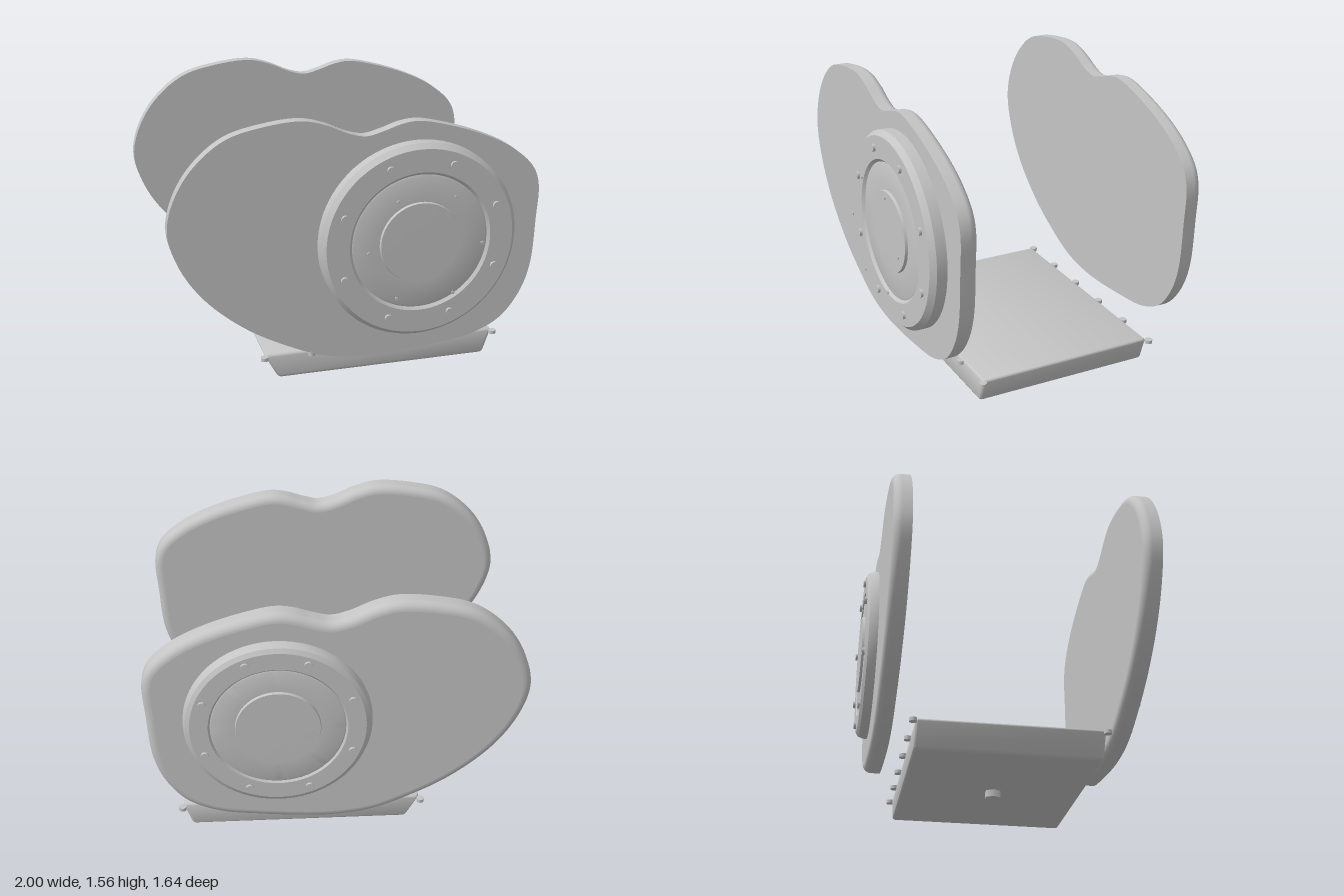
import * as THREE from 'three';
import { toCreasedNormals } from 'three/addons/utils/BufferGeometryUtils.js';
import { RoundedBoxGeometry } from 'three/addons/geometries/RoundedBoxGeometry.js';

const HUB = { x: 0.31, y: 0.88 };

export function createModel() {
  const model = new THREE.Group();
  const grey = new THREE.MeshStandardMaterial({ color: 0xc4c4c4 });
  grey.name = 'light grey';

  function add(name, geometry, parent = model) {
    const mesh = new THREE.Mesh(geometry, grey);
    mesh.name = name;
    parent.add(mesh);
    return mesh;
  }

  // Kidney-shaped outline shared by both side plates (counter-clockwise)
  const outline = new THREE.CatmullRomCurve3([
    [-1.0, 1.02], [-0.945, 0.83], [-0.82, 0.64], [-0.61, 0.455], [-0.39, 0.33],
    [-0.18, 0.245], [0.06, 0.215], [0.435, 0.24], [0.65, 0.275], [0.81, 0.355],
    [0.915, 0.49], [0.97, 0.645], [0.99, 0.91], [0.995, 1.12], [0.955, 1.22],
    [0.84, 1.325], [0.68, 1.41], [0.46, 1.485], [0.31, 1.515], [0.22, 1.505],
    [0.125, 1.475], [0.035, 1.455], [-0.055, 1.475], [-0.18, 1.53], [-0.3, 1.56],
    [-0.5, 1.545], [-0.7, 1.49], [-0.87, 1.35], [-0.97, 1.18],
  ].map(([x, y]) => new THREE.Vector3(x, y, 0)), true, 'centripetal');

  const N = 180;
  const loop = (inset) => Array.from({ length: N }, (_, i) => {
    const p = outline.getPoint(i / N), t = outline.getTangent(i / N);
    return new THREE.Vector2(p.x - t.y * inset, p.y + t.x * inset);
  });

  // Plate: sharp edge on +z, quarter-round edge on -z
  function addPlate(name, zFront, zBack) {
    const group = new THREE.Group();
    group.name = name;
    model.add(group);
    const R = 0.045, steps = 7;
    const sections = [[0, zFront]];
    for (let s = 0; s <= steps; s++) {
      const a = (s / steps) * Math.PI / 2;
      sections.push([R * (1 - Math.cos(a)), zBack + R * (1 - Math.sin(a))]);
    }
    const positions = [], index = [];
    sections.forEach(([inset, z], s) => {
      loop(inset).forEach((p) => positions.push(p.x, p.y, z));
      if (s === 0) return;
      for (let i = 0; i < N; i++) {
        const j = (i + 1) % N, a = (s - 1) * N, b = s * N;
        index.push(a + i, b + i, b + j, a + i, b + j, a + j);
      }
    });
    const rim = new THREE.BufferGeometry();
    rim.setAttribute('position', new THREE.Float32BufferAttribute(positions, 3));
    rim.setIndex(index);
    rim.computeVertexNormals();
    add('plateRim', rim, group);

    const front = new THREE.ShapeGeometry(new THREE.Shape(loop(0)));
    add('plateFrontFace', front.translate(0, 0, zFront), group);
    const back = new THREE.ShapeGeometry(new THREE.Shape(loop(R).map((p) => new THREE.Vector2(-p.x, p.y)).reverse()));
    add('plateBackFace', back.rotateY(Math.PI).translate(0, 0, zBack), group);
  }
  addPlate('frontPlate', 0.65, 0.55);
  addPlate('rearPlate', -0.645, -0.742);

  // Round cover with chamfer, grooved ring, raised centre cap and eight bolts
  function addCover(name, z, facing, profile, boltRadius, boltBase) {
    const group = new THREE.Group();
    group.name = name;
    group.position.set(HUB.x, HUB.y, z);
    if (facing < 0) group.rotation.y = Math.PI;
    model.add(group);
    const points = profile.map(([r, h]) => new THREE.Vector2(r, h));
    const disc = new THREE.LatheGeometry(points, 72).rotateX(Math.PI / 2);
    if (facing < 0) group.position.x = HUB.x;
    add('coverDisc', toCreasedNormals(disc, 0.4), group);
    for (let i = 0; i < 8; i++) {
      const a = (i + 0.5) * Math.PI / 4;
      const bolt = new THREE.CylinderGeometry(0.021, 0.021, 0.035, 16).rotateX(Math.PI / 2);
      add('coverBolt', bolt, group).position.set(
        boltRadius * Math.cos(a), boltRadius * Math.sin(a), boltBase);
    }
  }
  addCover('frontCover', 0.65, 1, [
    [0.535, 0], [0.535, 0.057], [0.51, 0.087], [0.385, 0.087], [0.37, 0.072],
    [0.36, 0.076], [0.222, 0.076], [0.218, 0.091], [0.21, 0.091], [0, 0.094],
  ], 0.446, 0.084);
  addCover('rearCover', -0.742, -1, [
    [0.49, 0], [0.488, 0.025], [0.478, 0.05], [0.455, 0.064], [0.36, 0.064], [0.35, 0.054],
    [0.34, 0.058], [0.222, 0.058], [0.218, 0.072], [0.21, 0.072], [0, 0.075],
  ], 0.415, 0.06);

  // Six small pins standing off the front cover
  for (let i = 0; i < 6; i++) {
    const a = i * Math.PI / 3;
    const pin = new THREE.CylinderGeometry(0.009, 0.009, 0.007, 12).rotateX(Math.PI / 2);
    add('smallPin', pin).position.set(HUB.x + 0.308 * Math.cos(a), HUB.y + 0.308 * Math.sin(a), 0.819);
  }

  // Bottom pan, its ends sloping inwards towards the base
  const H = 0.147;
  const pan = new RoundedBoxGeometry(1.325, H, 1.003, 3, 0.02);
  const pos = pan.attributes.position;
  for (let i = 0; i < pos.count; i++) {
    const x = pos.getX(i), t = 0.5 - pos.getY(i) / H;
    pos.setX(i, x - (x < 0 ? -0.08 : 0.05) * t * Math.min(1, Math.abs(x) / 0.6));
  }
  add('bottomPan', toCreasedNormals(pan, 0.6)).position.set(0.1875, 0.1125, -0.047);

  // Pan bolts along both long edges
  for (const z of [-0.562, 0.459]) {
    for (let i = 0; i < 6; i++) {
      const bolt = new THREE.CylinderGeometry(0.021, 0.021, 0.02, 16);
      add('panBolt', bolt).position.set(-0.475 + i * 0.265, 0.17, z);
    }
  }

  // Hexagonal drain plug
  add('drainPlug', new THREE.CylinderGeometry(0.046, 0.046, 0.05, 6).rotateY(Math.PI / 6))
    .position.set(0.187, 0.025, -0.043);

  return model;
}
